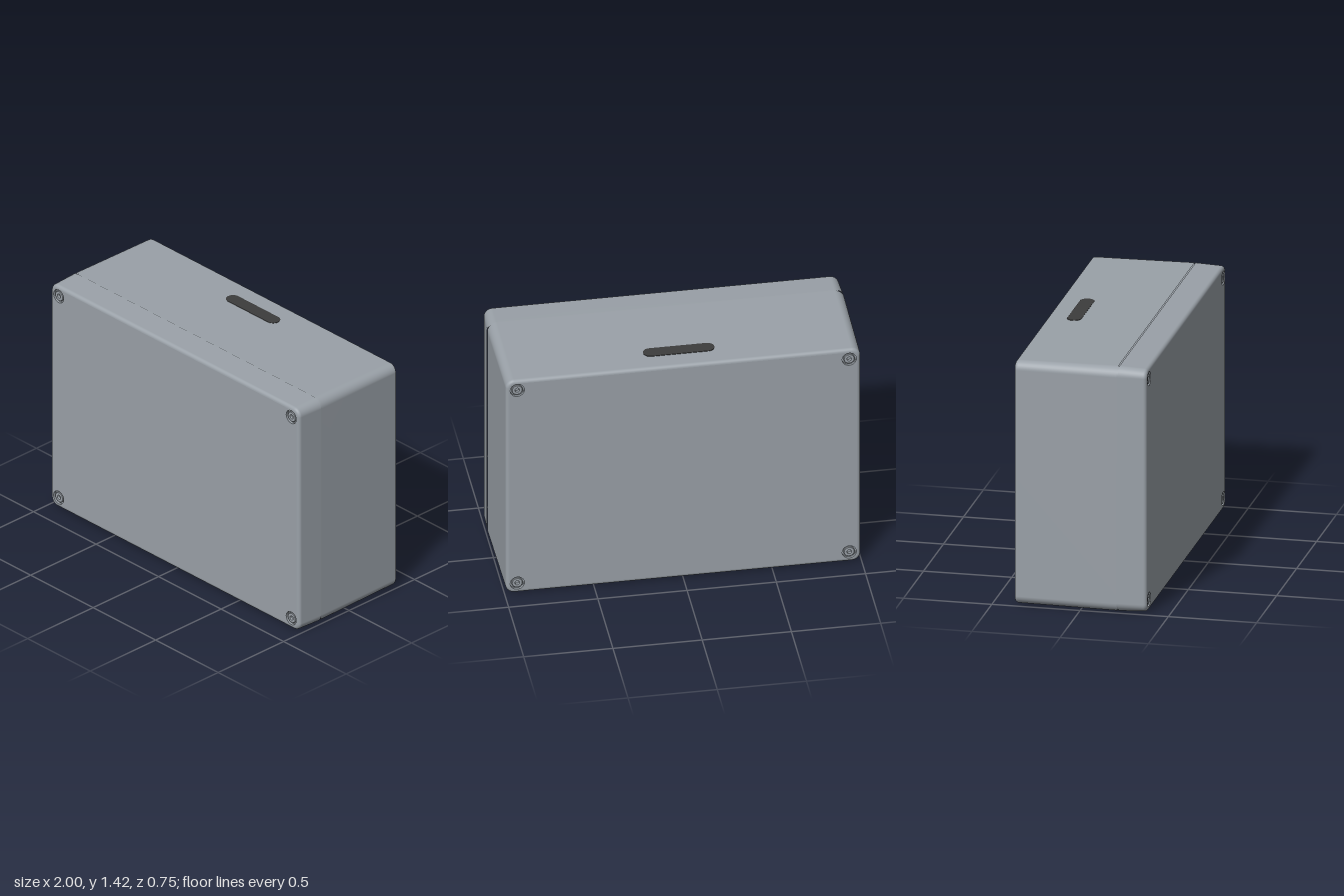
import * as THREE from 'three';
import { toCreasedNormals } from 'three/addons/utils/BufferGeometryUtils.js';

const W = 1, H = 0.71, D = 0.375;      // half sizes of the enclosure
const CORNER = 0.055, BEVEL = 0.02, DRAFT = 0.006, SEAM = 0.21;
const SCREW_X = 0.93, SCREW_Y = 0.64, SCREW_R = 0.04;

const grey = new THREE.MeshStandardMaterial({ name: 'case grey', color: 0x9aa1a8 });
const dark = new THREE.MeshStandardMaterial({ name: 'slot charcoal', color: 0x3c3c3c });

// Counter-clockwise rounded rectangle, shrunk by an inset
function outline(inset) {
  const r = CORNER - inset, pts = [];
  for (let q = 0; q < 4; q++) {
    const sx = q === 0 || q === 3 ? 1 : -1, sy = q < 2 ? 1 : -1;
    for (let i = 0; i <= 8; i++) {
      const a = (q + i / 8) * Math.PI / 2;
      pts.push(new THREE.Vector2(sx * (W - CORNER) + r * Math.cos(a), sy * (H - CORNER) + r * Math.sin(a)));
    }
  }
  return pts;
}

// Skin through outlines at [z, inset] stations, z rising
function loft(stations) {
  const pos = [], index = [];
  const n = outline(0).length;
  stations.forEach(([z, inset], i) => {
    outline(inset).forEach((p) => pos.push(p.x, p.y, z));
    if (i === 0) return;
    for (let j = 0; j < n; j++) {
      const k = (j + 1) % n, lo = (i - 1) * n, hi = i * n;
      index.push(lo + j, lo + k, hi + k, lo + j, hi + k, hi + j);
    }
  });
  const g = new THREE.BufferGeometry();
  g.setAttribute('position', new THREE.Float32BufferAttribute(pos, 3));
  g.setIndex(index);
  g.computeVertexNormals();
  return g;
}

// Rounded edge from the side wall to the end face
function bevel(sign) {
  const list = [];
  for (let i = 0; i <= 6; i++) {
    const a = i / 6 * Math.PI / 2;
    list.push([sign * (D - BEVEL + BEVEL * Math.sin(a)), DRAFT + BEVEL * (1 - Math.cos(a))]);
  }
  return sign > 0 ? list : list.reverse();
}

function add(parent, name, geometry, material) {
  const mesh = new THREE.Mesh(geometry, material);
  mesh.name = name;
  parent.add(mesh);
  return mesh;
}

// Flat end face with four counterbored screws, facing +z
function endFace(name) {
  const group = new THREE.Group();
  group.name = name;
  const shape = new THREE.Shape(outline(DRAFT + BEVEL));
  const profile = [
    [SCREW_R, 0], [SCREW_R, -0.014], [0.031, -0.014], [0.031, -0.006], [0.028, -0.003],
    [0.013, -0.003], [0.011, -0.016], [0, -0.016],
  ].map(([r, y]) => new THREE.Vector2(r, y));
  const screw = toCreasedNormals(new THREE.LatheGeometry(profile, 32).rotateX(Math.PI / 2), 0.6);
  for (const sx of [-1, 1]) for (const sy of [-1, 1]) {
    const hole = new THREE.Path();
    hole.absarc(sx * SCREW_X, sy * SCREW_Y, SCREW_R, 0, Math.PI * 2, true);
    shape.holes.push(hole);
    add(group, 'cornerScrew', screw, grey).position.set(sx * SCREW_X, sy * SCREW_Y, D);
  }
  add(group, 'panel', new THREE.ShapeGeometry(shape, 16).translate(0, 0, D), grey);
  return group;
}

export function createModel() {
  const model = new THREE.Group();
  model.name = 'enclosure';
  const box = new THREE.Group();
  box.name = 'case';
  box.position.y = H;
  model.add(box);

  // Deep rear body and shallow front lid, parted by a fine groove
  add(box, 'rearBody', loft([...bevel(-1), [SEAM - 0.003, 0]]), grey);
  add(box, 'frontLid', loft([[SEAM + 0.003, 0], ...bevel(1)]), grey);
  add(box, 'seamGroove', loft([[SEAM - 0.01, 0.004], [SEAM + 0.01, 0.004]]), grey);

  // Front and back faces
  const back = endFace('backFace');
  back.rotation.y = Math.PI;
  box.add(endFace('frontFace'), back);

  // Dark rounded slot in the top
  const hx = 0.2, r = 0.04;
  const slot = new THREE.Shape();
  slot.absarc(hx - r, 0, r, -Math.PI / 2, Math.PI / 2, false);
  slot.absarc(-hx + r, 0, r, Math.PI / 2, Math.PI * 1.5, false);
  const plate = new THREE.ExtrudeGeometry(slot, { depth: 0.005, bevelEnabled: false, curveSegments: 16 });
  plate.rotateX(-Math.PI / 2);
  add(box, 'topSlot', plate, dark).position.set(0, H - 0.0075, -0.222);

  return model;
}
